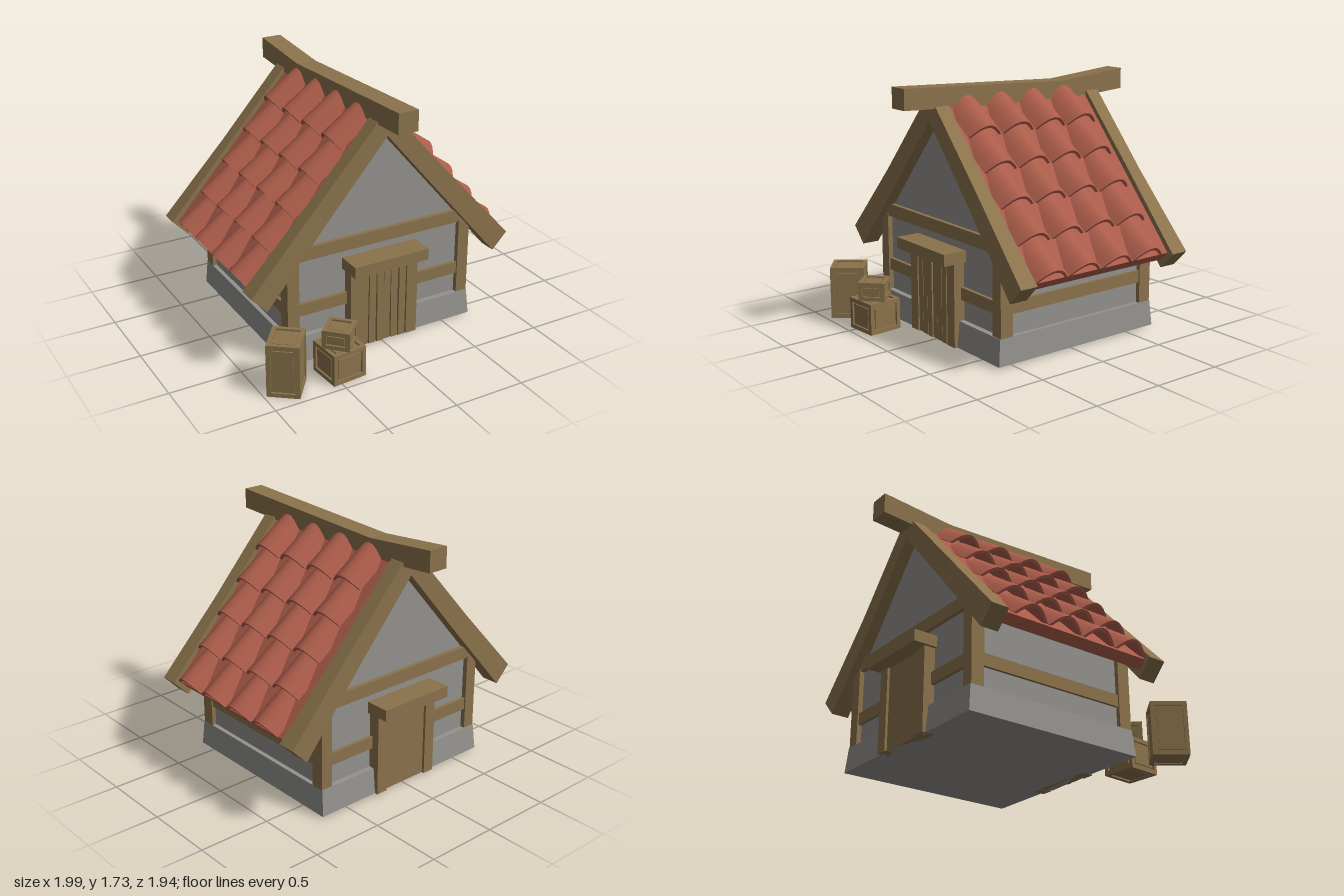
import * as THREE from 'three';
import { toCreasedNormals } from 'three/addons/utils/BufferGeometryUtils.js';

const CZ = -0.05; // middle of the house along z

const material = (name, color) => Object.assign(new THREE.MeshStandardMaterial({ color }), { name });

// Flat-faced solid through a row of four-cornered sections
function loft(sections) {
  const out = [];
  const tri = (...pts) => pts.forEach((p) => out.push(...p));
  const quad = (a, b, c, d) => { tri(a, b, c); tri(a, c, d); };
  for (let k = 0; k < sections.length - 1; k++) {
    const s = sections[k], t = sections[k + 1];
    for (let j = 0; j < 4; j++) {
      const n = (j + 1) % 4;
      quad(s[j], t[j], t[n], s[n]);
    }
  }
  quad(...sections[0]);
  quad(...[...sections[sections.length - 1]].reverse());
  const g = new THREE.BufferGeometry();
  g.setAttribute('position', new THREE.Float32BufferAttribute(out, 3));
  g.computeVertexNormals();
  return g;
}

function prism(points, depth) {
  const shape = new THREE.Shape(points.map(([x, y]) => new THREE.Vector2(x, y)));
  return new THREE.ExtrudeGeometry(shape, { depth, bevelEnabled: false });
}

export function createModel() {
  const model = new THREE.Group();
  model.name = 'cottage';
  const wood = material('timber brown', 0x8b734c);
  const clay = material('clay red', 0xab5c4a);
  const stone = material('plaster grey', 0x93928e);

  const add = (parent, name, geometry, mat, x = 0, y = 0, z = 0) => {
    const m = new THREE.Mesh(geometry, mat);
    m.name = name;
    m.position.set(x, y, z);
    parent.add(m);
    return m;
  };
  // Box given by its lower and upper limits
  const box = (parent, name, mat, x0, x1, y0, y1, z0, z1) =>
    add(parent, name, new THREE.BoxGeometry(x1 - x0, y1 - y0, z1 - z0), mat,
      (x0 + x1) / 2, (y0 + y1) / 2, (z0 + z1) / 2);

  // Foundation, slightly narrower at the top
  const ring = (x, y, z) => [[-x, y, -z], [x, y, -z], [x, y, z], [-x, y, z]];
  add(model, 'foundation', loft([ring(0.712, 0.02, 0.667), ring(0.7, 0.2, 0.65)]), stone, 0, 0, CZ);

  // Plaster walls with gables
  add(model, 'walls', prism([[-0.67, 0.1], [0.67, 0.1], [0.67, 0.72], [0, 1.53], [-0.67, 0.72]], 1.22),
    stone, 0, 0, CZ - 0.61);

  // Roof deck
  add(model, 'roofDeck', prism([[0.93, 0.605], [0, 1.65], [-0.93, 0.605], [-0.88, 0.55], [0, 1.53], [0.88, 0.55]], 1.16),
    clay, 0, 0, -0.63);

  // Ridge beam, sagging behind the middle
  const ridge = (z, y0, y1) => [[-0.072, y0, z], [-0.072, y1, z], [0.072, y1, z], [0.072, y0, z]];
  add(model, 'ridgeBeam', loft([ridge(-0.97, 1.59, 1.735), ridge(-0.43, 1.55, 1.686), ridge(0.875, 1.595, 1.735)]), wood);

  // Arched roof tile: a thin curved shell
  const arc = [], inner = [];
  for (let i = 0; i <= 8; i++) {
    const t = 1 - i / 4;
    const rise = (Math.cos(t * 1.25) - Math.cos(1.25)) / (1 - Math.cos(1.25));
    arc.push([0.13 * t, 0.09 * rise]);
    inner.unshift([0.112 * t, 0.072 * rise - 0.004]);
  }
  const tileGeometry = toCreasedNormals(prism([...arc, ...inner], 0.32), 0.6);
  const tilt = 0.607;
  const up = new THREE.Vector3(-Math.cos(tilt), Math.sin(tilt), 0);
  const normal = new THREE.Vector3(Math.sin(tilt), Math.cos(tilt), 0);
  const tileBasis = new THREE.Matrix4().makeBasis(new THREE.Vector3(0, 0, 1), normal, up);

  // Both slopes: the second is the first turned half round
  for (const side of [1, -1]) {
    const slope = new THREE.Group();
    slope.name = side > 0 ? 'leftRoofTiles' : 'rightRoofTiles';
    slope.rotation.y = side > 0 ? 0 : Math.PI;
    model.add(slope);
    for (let row = 0; row < 5; row++) {
      for (const z of [0.39, 0.117, -0.157, -0.43]) {
        const tile = add(slope, 'roofTile', tileGeometry, clay, 0.944 - 0.17 * row, 0.611 + 0.2005 * row, side * z);
        tile.quaternion.setFromRotationMatrix(tileBasis);
      }
    }
  }

  // Gable rafters, a little thicker toward the eaves
  const rafterGeometry = loft([
    [0, 1.5, 0, 1.6, 0.053], [0.06, 1.43, 0.075, 1.6, 0.053],
    [0.435, 0.995, 0.525, 1.1, 0.05], [0.87, 0.49, 0.98, 0.605, 0.064],
  ].map(([x0, y0, x1, y1, h]) => [[x0, y0, h], [x1, y1, h], [x1, y1, -h], [x0, y0, -h]]));

  // Front and back: timber frame, rafters and doorway
  for (const end of ['front', 'back']) {
    const g = new THREE.Group();
    g.name = end + 'Timbers';
    g.position.z = CZ;
    g.rotation.y = end === 'front' ? 0 : Math.PI;
    model.add(g);
    for (const s of [0, Math.PI]) {
      add(g, 'rafter', rafterGeometry, wood, 0, 0, 0.64).rotation.y = s;
    }
    for (const s of [-1, 1]) {
      const a = s * 0.615, b = s * 0.7;
      box(g, 'cornerPost', wood, Math.min(a, b), Math.max(a, b), 0.2, 0.755, 0.55, 0.645);
    }
    box(g, 'tieBeam', wood, -0.69, 0.69, 0.74, 0.83, 0.55, 0.64);
    box(g, 'middleRail', wood, -0.62, 0.62, 0.345, 0.43, 0.55, 0.635);

    // Doorway
    box(g, 'lintel', wood, -0.28, 0.28, 0.6, 0.68, 0.6, 0.782);
    box(g, 'leftDoorPost', wood, 0.175, 0.258, 0.02, 0.6, 0.6, 0.69);
    box(g, 'rightDoorPost', wood, -0.258, -0.175, 0.02, 0.6, 0.6, 0.69);
    box(g, 'doorPanel', wood, -0.18, 0.18, 0.02, 0.6, 0.6, 0.672);
    if (end === 'front') {
      // Uneven door planks
      [-0.148, -0.088, -0.03, 0.025, 0.08, 0.14].forEach((x, i) => {
        const plank = box(g, 'doorPlank', wood, x - 0.025, x + 0.025, 0.022, 0.598, 0.665, 0.682 + 0.004 * (i % 3));
        plank.rotation.z = [0.006, -0.008, 0.004, -0.006, 0.009, -0.005][i];
      });
    }
  }

  // Rails on the long walls
  for (const s of [-1, 1]) {
    box(model, 'sideRail', wood, s * 0.66 - 0.03, s * 0.66 + 0.03, 0.345, 0.43, CZ - 0.56, CZ + 0.56);
  }

  // Crate: recessed core, twelve edge bars and a raised panel on every face
  function crate(name, w, h, d, x, y, z, turn) {
    const g = new THREE.Group();
    g.name = name;
    g.position.set(x, y + h / 2, z);
    g.rotation.y = turn;
    model.add(g);
    const size = [w, h, d], bar = 0.028, inset = 0.014, gap = 0.012;
    add(g, 'crateCore', new THREE.BoxGeometry(...size.map((v) => v - 2 * inset)), wood);
    for (let axis = 0; axis < 3; axis++) {
      const [p, q] = [(axis + 1) % 3, (axis + 2) % 3];
      for (const i of [-1, 1]) {
        for (const j of [-1, 1]) {
          const dim = [bar, bar, bar], pos = [0, 0, 0];
          dim[axis] = size[axis];
          pos[p] = i * (size[p] - bar) / 2;
          pos[q] = j * (size[q] - bar) / 2;
          add(g, 'crateBar', new THREE.BoxGeometry(...dim), wood, ...pos);
        }
      }
      const panel = size.map((v) => v - 2 * (bar + gap));
      panel[axis] = size[axis] - 0.01;
      add(g, 'cratePanel', new THREE.BoxGeometry(...panel), wood);
    }
  }
  crate('tallCrate', 0.215, 0.37, 0.24, -0.823, 0.005, 0.805, -0.655);
  crate('lowCrate', 0.245, 0.22, 0.245, -0.447, 0.005, 0.82, 0.08);
  crate('smallCrate', 0.185, 0.13, 0.185, -0.447, 0.225, 0.82, Math.PI / 4);

  return model;
}
